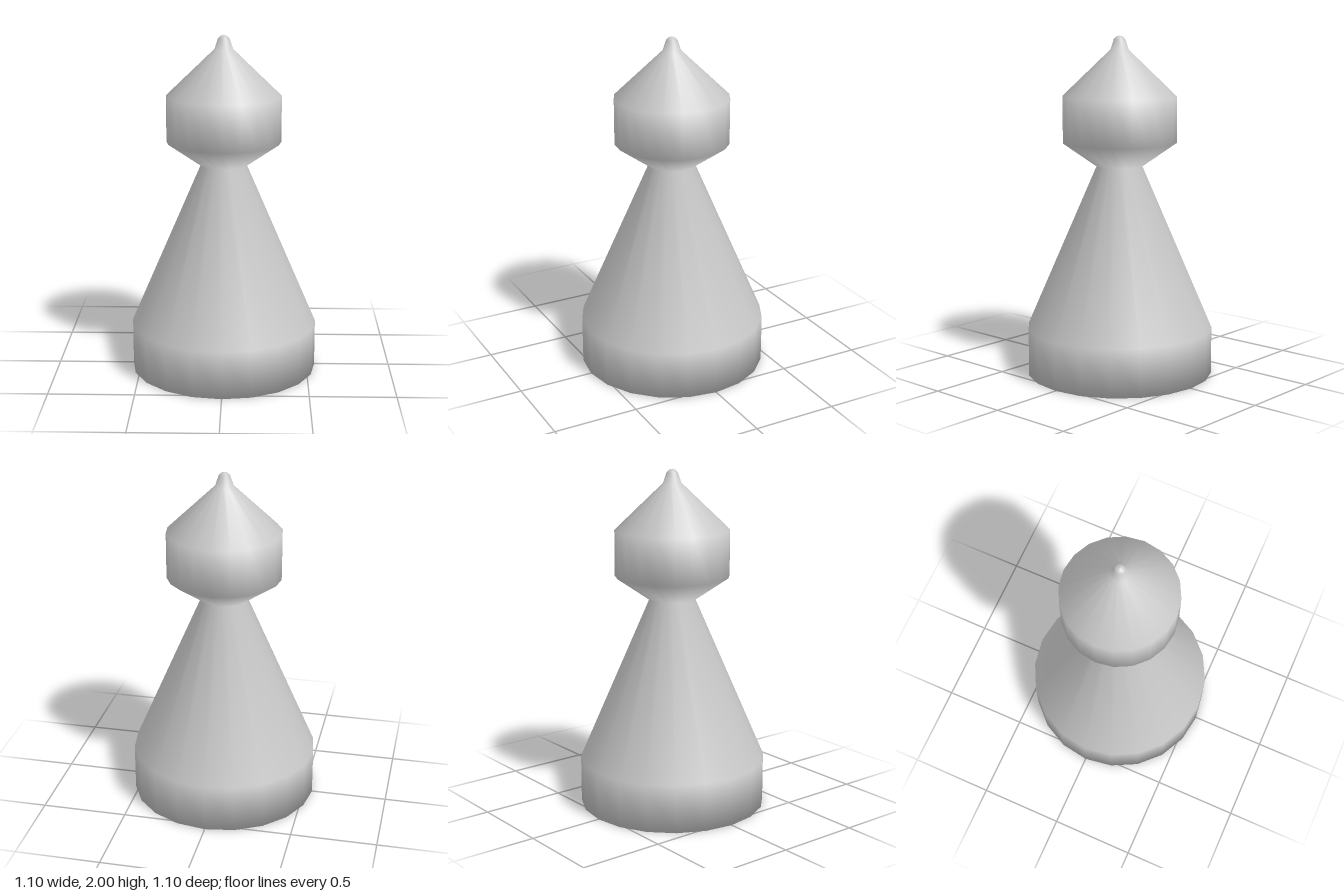
import * as THREE from 'three';

export function createModel() {
  const group = new THREE.Group();
  group.name = 'gamePawn';

  // Turned profile, from the centre of the base up to the tip
  const profile = [
    [0, 0], [0.55, 0], [0.55, 0.28],      // foot
    [0.135, 1.24],                        // tapered body up to the neck
    [0.335, 1.38], [0.335, 1.65],         // head
    [0.053, 1.92],                        // conical crown
    [0.033, 1.98], [0.018, 1.995], [0, 2] // rounded tip
  ].map(([r, y]) => new THREE.Vector2(r, y));

  // 20-sided, smooth-shaded turning
  const pawn = new THREE.Mesh(
    new THREE.LatheGeometry(profile, 20),
    new THREE.MeshStandardMaterial({ color: 0xcccccc })
  );
  pawn.name = 'turnedPawn';
  group.add(pawn);

  return group;
}
